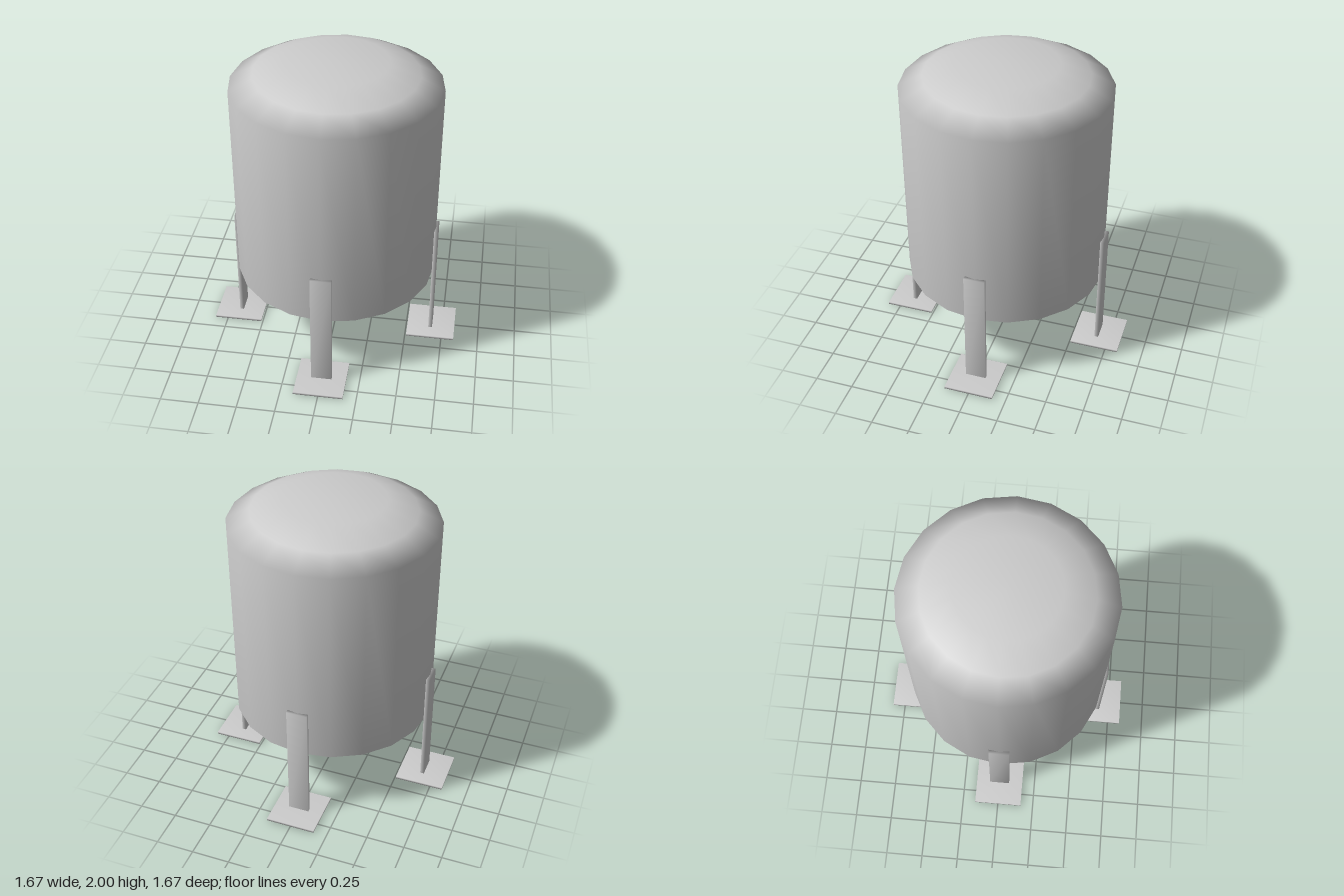
import * as THREE from 'three';
import { mergeVertices } from 'three/addons/utils/BufferGeometryUtils.js';

const material = new THREE.MeshStandardMaterial({ color: 0xcccccc });

// Box with shared corners, so its shading is smooth
function softBox(w, h, d) {
  const box = new THREE.BoxGeometry(w, h, d);
  box.deleteAttribute('normal');
  box.deleteAttribute('uv');
  const merged = mergeVertices(box);
  merged.computeVertexNormals();
  return merged;
}

function addMesh(parent, name, geometry, x, y, z) {
  const mesh = new THREE.Mesh(geometry, material);
  mesh.name = name;
  mesh.position.set(x, y, z);
  parent.add(mesh);
}

export function createModel() {
  const model = new THREE.Group();
  model.name = 'storageTank';

  // Twenty-sided vessel with shallow stepped ends
  const profile = [
    [0, 0.35], [0.33, 0.35], [0.52, 0.425], [0.663, 0.5],
    [0.669, 1.845], [0.52, 1.925], [0.33, 2], [0, 2],
  ].map(([r, y]) => new THREE.Vector2(r, y));
  addMesh(model, 'tankBody', new THREE.LatheGeometry(profile, 20), 0, 0, 0);

  // Four flat legs, each on a square foot plate
  const legGeometry = softBox(0.136, 0.83, 0.026);
  const plateGeometry = softBox(0.325, 0.016, 0.325);
  const sides = ['front', 'left', 'back', 'right'];
  sides.forEach((side, i) => {
    const support = new THREE.Group();
    support.name = side + 'Support';
    addMesh(support, side + 'Leg', legGeometry, 0, 0.415, 0.668);
    addMesh(support, side + 'FootPlate', plateGeometry, 0, 0.012, 0.672);
    support.rotation.y = (i * Math.PI) / 2;
    model.add(support);
  });

  return model;
}
